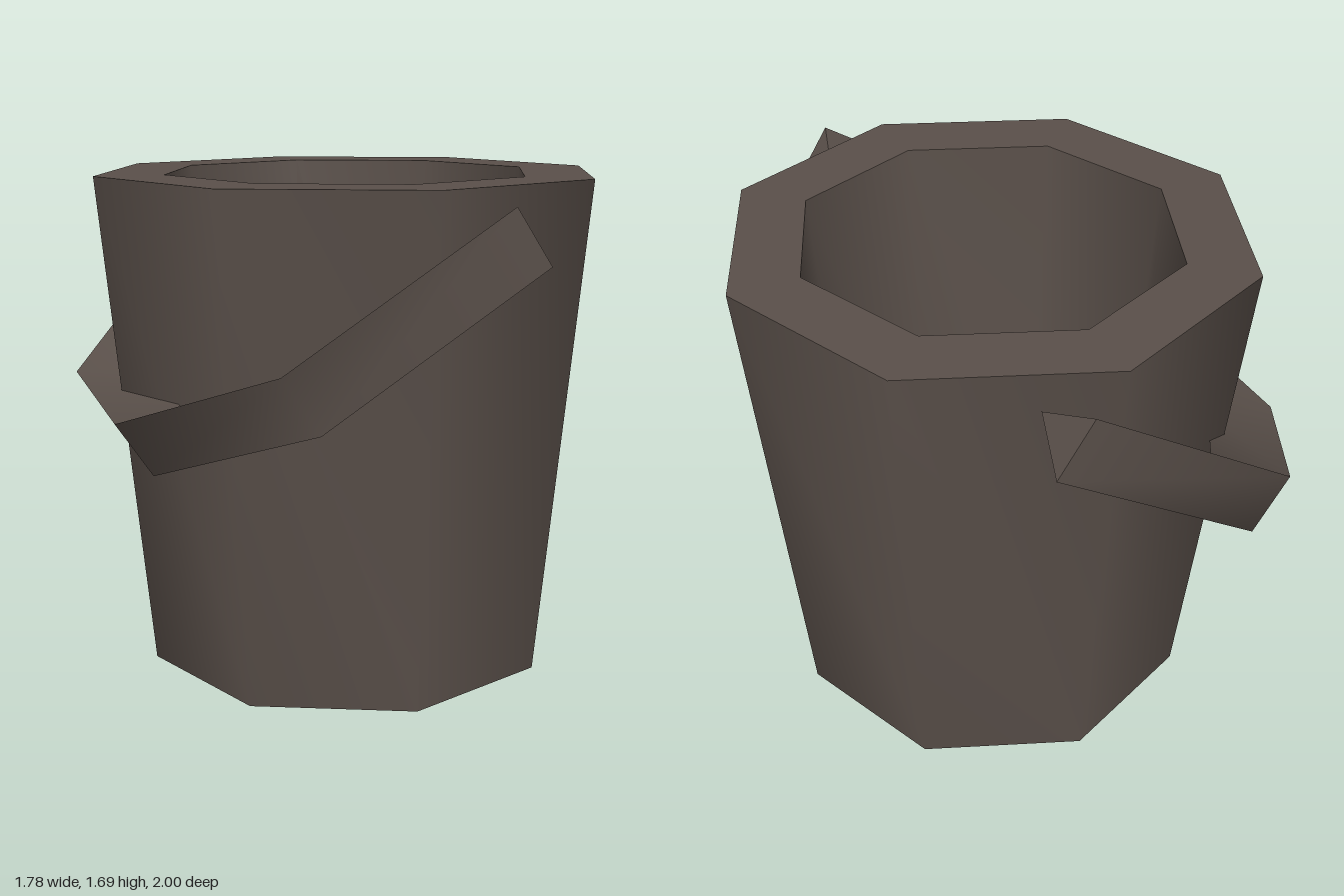
import * as THREE from 'three';
import { toCreasedNormals } from 'three/addons/utils/BufferGeometryUtils.js';

const CREASE = 1.05;

// Eight-sided bucket with a thick rim and a hollow inside
function bucketGeometry() {
  const profile = [[0, 0], [0.715, 0], [0.875, 1.69], [0.64, 1.69], [0.525, 0.15], [0, 0.15]]
    .map(([r, y]) => new THREE.Vector2(r, y));
  return toCreasedNormals(new THREE.LatheGeometry(profile, 8), CREASE);
}

// Tilted handle: triangular section, flat outside and a ridge inside
function handleGeometry() {
  // [outer u, outer z, ridge u, ridge z], u runs up the slope from the lowest edge
  const half = [[1.27, 1, 1.27, 0.8], [0.44, 1, 0.55, 0.8], [0, 0.42, 0.2, 0.36]];
  const mirrored = half.map(([u, z, v, w]) => [u, -z, v, -w]).reverse();
  const path = [...half, ...mirrored];
  const positions = [];
  const put = (u, side, z) => positions.push(-0.83 + u * 0.842 - side * 0.058, 0.877 + u * 0.54 + side * 0.088, z);
  for (const [u, z, v, w] of path) {
    put(u, 1, z);
    put(u, -1, z);
    put(v, 0, w);
  }
  const index = [0, 1, 2];
  for (let i = 0; i < path.length - 1; i++) {
    for (let k = 0; k < 3; k++) {
      const p = i * 3 + k, q = i * 3 + (k + 1) % 3;
      index.push(p, p + 3, q + 3, p, q + 3, q);
    }
  }
  const last = (path.length - 1) * 3;
  index.push(last, last + 2, last + 1);
  const geometry = new THREE.BufferGeometry();
  geometry.setAttribute('position', new THREE.Float32BufferAttribute(positions, 3));
  geometry.setIndex(index);
  return toCreasedNormals(geometry, CREASE);
}

export function createModel() {
  const model = new THREE.Group();
  model.name = 'bucket';
  const material = new THREE.MeshStandardMaterial({ color: 0x5a504a });
  material.name = 'dark brown';

  const body = new THREE.Mesh(bucketGeometry(), material);
  body.name = 'bucketBody';
  body.position.set(0.015, 0, -0.02);

  const handle = new THREE.Mesh(handleGeometry(), material);
  handle.name = 'handle';

  model.add(body, handle);
  return model;
}
